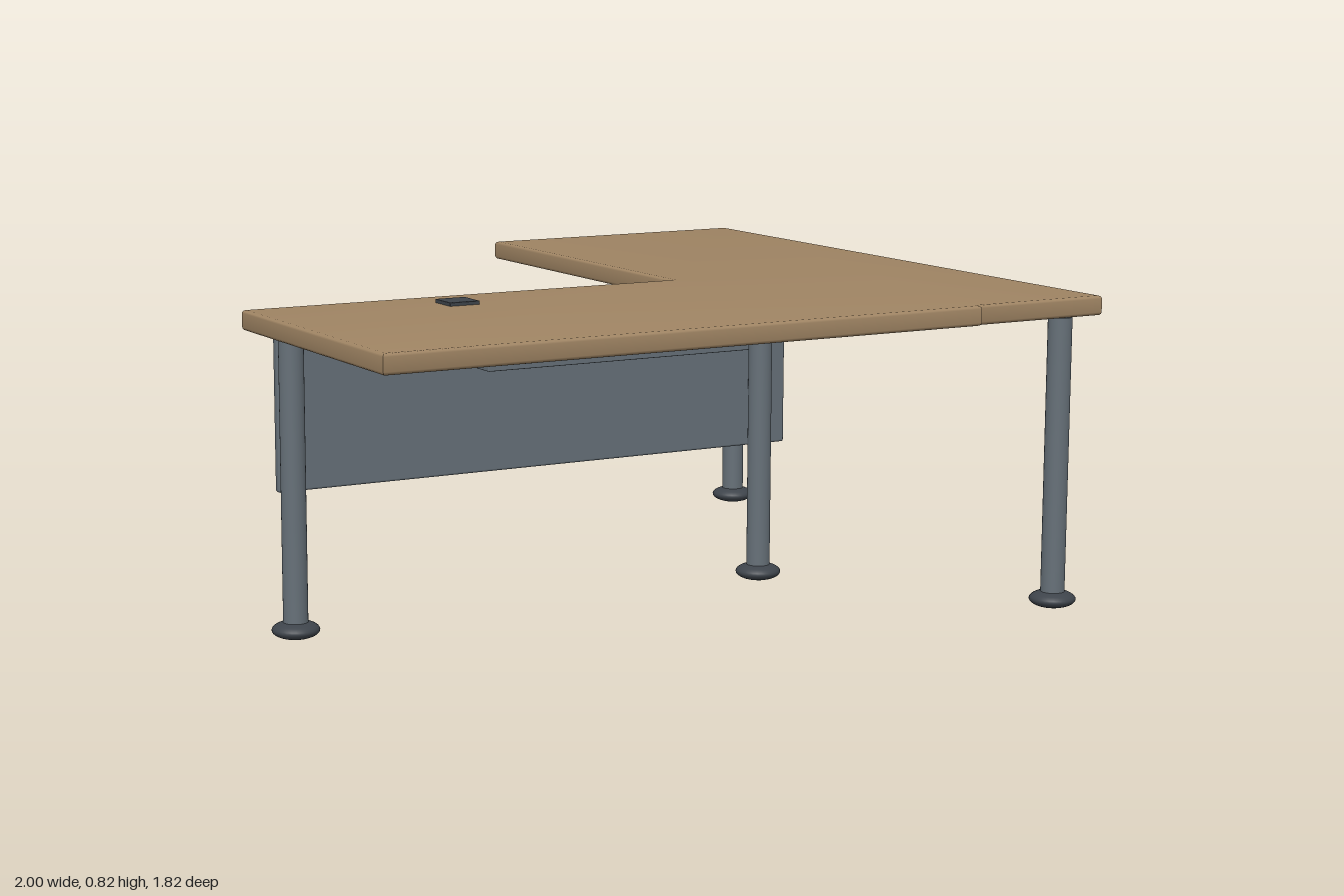
import * as THREE from 'three';
import { toCreasedNormals } from 'three/addons/utils/BufferGeometryUtils.js';
import { RoundedBoxGeometry } from 'three/addons/geometries/RoundedBoxGeometry.js';

const material = (name, color) => Object.assign(new THREE.MeshStandardMaterial({ color }), { name });

export function createModel() {
  const desk = new THREE.Group();
  desk.name = 'cornerDesk';
  const wood = material('wood', 0x9f8463);
  const steel = material('greySteel', 0x667078);
  const dark = material('darkPlastic', 0x3e444b);

  const add = (name, geometry, mat, parent = desk) => {
    const mesh = new THREE.Mesh(geometry, mat);
    mesh.name = name;
    parent.add(mesh);
    return mesh;
  };

  // Rounded box given by its minimum and maximum corners
  const block = (name, min, max, radius, mat) => {
    const size = max.map((v, i) => v - min[i]);
    const mesh = add(name, new RoundedBoxGeometry(...size, 2, radius), mat);
    mesh.position.set(...max.map((v, i) => (v + min[i]) / 2));
  };

  // L-shaped top with softened edges; the return is set back slightly at the front
  const outline = [[-1, 0.908], [0.617, 0.908], [0.617, 0.897], [0.997, 0.897],
    [0.997, -0.912], [0.21, -0.912], [0.21, 0.1], [-1, 0.1]];
  const bevel = 0.008;
  const topShape = new THREE.Shape(outline.map(([x, z]) => new THREE.Vector2(x, -z)));
  const topGeometry = new THREE.ExtrudeGeometry(topShape, {
    depth: 0.05 - 2 * bevel, bevelThickness: bevel, bevelSize: bevel,
    bevelOffset: -bevel, bevelSegments: 3,
  });
  topGeometry.rotateX(-Math.PI / 2).translate(0, 0.765 + bevel, 0);
  add('deskTop', toCreasedNormals(topGeometry, 0.6), wood);

  // Cable outlet on the top
  block('cableOutlet', [-0.53, 0.81, 0.205], [-0.448, 0.824, 0.288], 0.002, dark);

  // Modesty panel and the cable tray in front of it
  block('modestyPanel', [-0.932, 0.363, 0.125], [0.535, 0.747, 0.147], 0.006, steel);
  block('cableTray', [-0.45, 0.653, 0.145], [0.305, 0.737, 0.336], 0.003, steel);

  // Four round legs on flattened feet
  const legGeometry = new THREE.CylinderGeometry(0.031, 0.031, 0.725, 32).translate(0, 0.3925, 0);
  const footGeometry = new THREE.SphereGeometry(0.06, 32, 16).scale(1, 0.38, 1).translate(0, 0.0228, 0);
  for (const [x, z] of [[-0.905, 0.175], [0.44, 0.175], [0.935, 0.81], [0.935, -0.755]]) {
    const leg = new THREE.Group();
    leg.name = 'leg';
    leg.position.set(x, 0, z);
    add('legTube', legGeometry, steel, leg);
    add('foot', footGeometry, dark, leg);
    desk.add(leg);
  }
  return desk;
}
